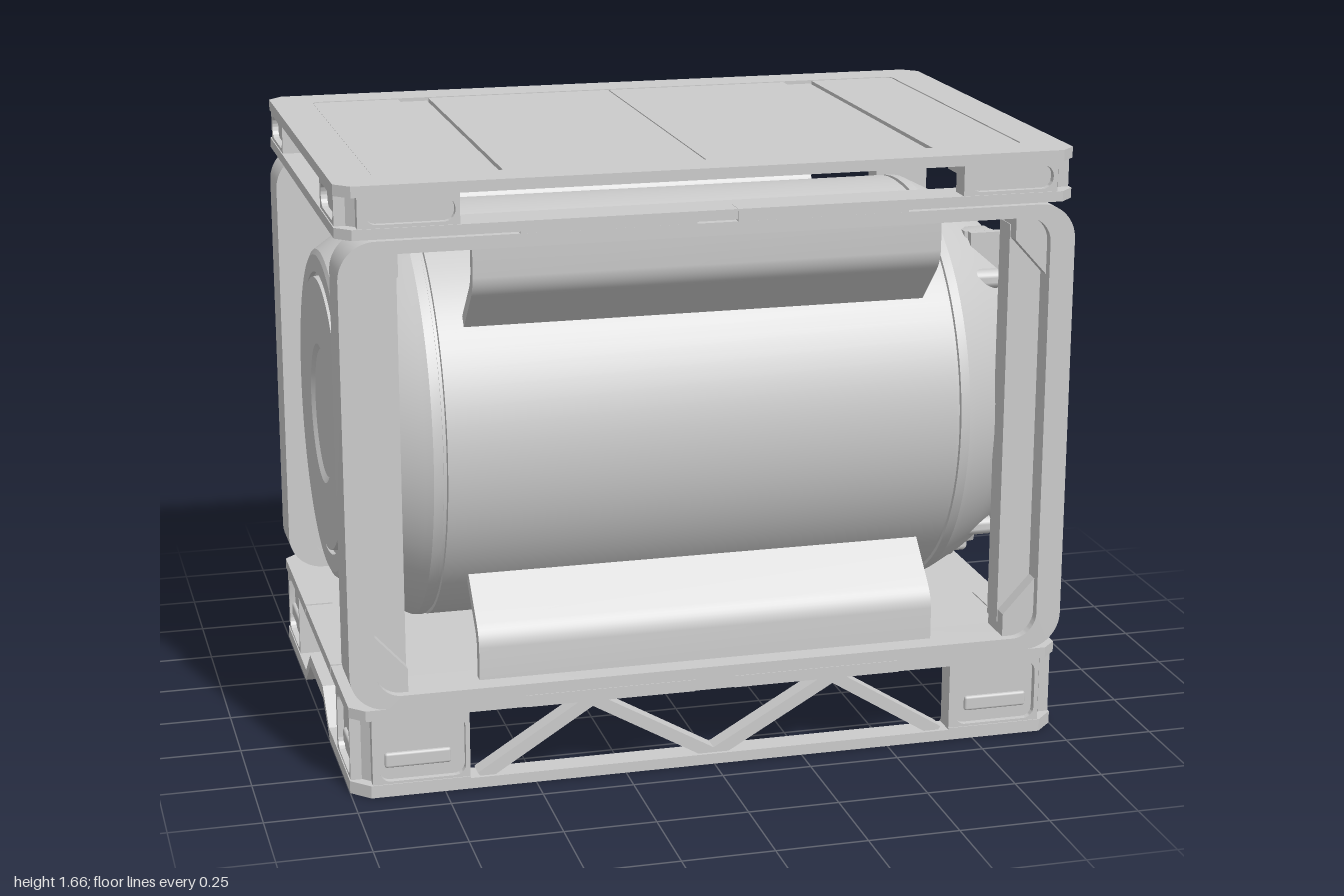
import * as THREE from 'three';
import { toCreasedNormals } from 'three/addons/utils/BufferGeometryUtils.js';
import { RoundedBoxGeometry } from 'three/addons/geometries/RoundedBoxGeometry.js';

const X = 1, Z = 0.665, AXIS = 0.885, H = 1.665;
const mat = new THREE.MeshStandardMaterial({ color: 0xcccccc });

const poly = pts => new THREE.Shape(pts.map(p => new THREE.Vector2(...p)));

function roundRect(x0, y0, x1, y1, r, target = new THREE.Shape()) {
  target.moveTo(x0 + r, y0);
  target.lineTo(x1 - r, y0); target.absarc(x1 - r, y0 + r, r, -Math.PI / 2, 0);
  target.lineTo(x1, y1 - r); target.absarc(x1 - r, y1 - r, r, 0, Math.PI / 2);
  target.lineTo(x0 + r, y1); target.absarc(x0 + r, y1 - r, r, Math.PI / 2, Math.PI);
  target.lineTo(x0, y0 + r); target.absarc(x0 + r, y0 + r, r, Math.PI, Math.PI * 1.5);
  return target;
}

const extrude = (shape, depth) => toCreasedNormals(
  new THREE.ExtrudeGeometry(shape, { depth, bevelEnabled: false, curveSegments: 8 }), 0.5);
// Plan shape (x, z) raised from y0 to y1
const raise = (shape, y0, y1) => extrude(shape, y1 - y0).rotateX(Math.PI / 2).translate(0, y1, 0);
// Side profile (z, y) drawn out along x, centred
const across = (shape, len) => extrude(shape, len).rotateY(-Math.PI / 2).translate(len / 2, 0, 0);

function add(parent, name, geo, x = 0, y = 0, z = 0) {
  const m = new THREE.Mesh(geo, mat);
  m.name = name;
  m.position.set(x, y, z);
  parent.add(m);
  return m;
}
const box = (parent, name, w, h, d, x, y, z) => add(parent, name, new THREE.BoxGeometry(w, h, d), x, y, z);

function group(parent, name) {
  const g = new THREE.Group();
  g.name = name;
  parent.add(g);
  return g;
}

const plan = (c = 0.04) => poly([[-X + c, -Z], [X - c, -Z], [X, -Z + c], [X, Z - c],
  [X - c, Z], [-X + c, Z], [-X, Z - c], [-X, -Z + c]]);

// L-shaped corner wall with a chamfered outer edge
function cornerWall(parent, name, sx, sz, inset, t, y0, y1) {
  const a = X - inset, b = Z - inset, c = 0.05;
  const pts = [[0.68, b], [a - c, b], [a, b - c], [a, 0.37], [a - t, 0.37],
    [a - t, b - c - t * 0.5], [a - c - t * 0.5, b - t], [0.68, b - t]];
  add(parent, name, raise(poly(pts.map(([x, z]) => [x * sx, z * sz])), y0, y1));
}

// Face plate around a rounded pocket, spanning u0 to u1 on one side (s) of the middle
function pocketFrame(s, u0, u1, y0, y1) {
  const shape = poly([[u0, y0], [u1, y0], [u1, y1], [u0, y1]].map(([u, y]) => [u * s, y]));
  const [a, b] = s > 0 ? [u0, u1] : [-u1, -u0];
  shape.holes.push(roundRect(a + 0.02, y0 + 0.012, b - 0.012, y1 - 0.012, 0.03, new THREE.Path()));
  return shape;
}

// Four hollow corner blocks between two levels
function corners(parent, y0, y1, slots) {
  const y = (y0 + y1) / 2 - 0.028;
  for (const sx of [-1, 1]) for (const sz of [-1, 1]) {
    cornerWall(parent, 'cornerBlock', sx, sz, 0.02, 0.045, y0, y1);
    add(parent, 'pocketFrame', extrude(pocketFrame(sx, 0.68, 0.945, y0, y1), 0.03)
      .translate(0, 0, -0.015), 0, 0, sz * (Z - 0.018));
    add(parent, 'pocketFrame', across(pocketFrame(sz, 0.37, 0.61, y0, y1), 0.03), sx * (X - 0.018));
    if (!slots) continue;
    add(parent, 'handSlot', new RoundedBoxGeometry(0.18, 0.042, 0.016, 2, 0.007), sx * 0.82, y, sz * (Z - 0.018));
    add(parent, 'handSlot', new RoundedBoxGeometry(0.016, 0.042, 0.16, 2, 0.007), sx * (X - 0.018), y, sz * 0.515);
  }
}

function addBase(root) {
  const g = group(root, 'basePallet');
  add(g, 'baseDeck', raise(plan(), 0.22, 0.25));
  corners(g, 0.03, 0.222, true);
  for (const sx of [-1, 1]) {
    for (const sz of [-1, 1]) cornerWall(g, 'cornerFoot', sx, sz, 0, 0.07, 0, 0.035);
    // Arched end rail
    const half = [[0.4, 0], [0.24, 0], [0.13, 0.085]];
    const top = [[0.125, 0.12], [0.23, 0.035], [0.4, 0.035]];
    const flip = a => a.map(([z, y]) => [-z, y]).reverse();
    add(g, 'archedRail', across(poly([...half, ...flip(half), ...flip(top), ...top]), 0.07), sx * (X - 0.035));
    // Floor tabs
    for (const sz of [-1, 1]) {
      box(g, 'endTab', 0.08, 0.025, 0.12, sx * (X - 0.039), 0.241, sz * 0.25);
      box(g, 'sideTab', 0.47, 0.033, 0.06, sx * 0.29, 0.236, sz * (Z - 0.028));
    }
  }
  // Trussed long sides
  const nodes = [[-0.65, 0.025], [-0.34, 0.22], [0, 0.025], [0.34, 0.22], [0.65, 0.025]];
  for (const s of [-1, 1]) {
    box(g, 'bottomRail', 1.4, 0.03, 0.07, 0, 0.015, s * (Z - 0.035));
    for (let i = 0; i < 4; i++) {
      const [ax, ay] = nodes[i], [bx, by] = nodes[i + 1];
      const bar = box(g, 'trussBar', Math.hypot(bx - ax, by - ay), 0.034, 0.05,
        (ax + bx) / 2, (ay + by) / 2, s * (Z - 0.035));
      bar.rotation.z = Math.atan2(by - ay, bx - ax);
    }
  }
}

function addTop(root) {
  const g = group(root, 'topPallet');
  const rim = plan();
  rim.holes.push(roundRect(-0.885, -0.55, 0.885, 0.55, 0.025, new THREE.Path()));
  add(g, 'deckRim', raise(rim, 1.635, H));
  add(g, 'deckFloor', raise(plan(0.1), 1.637, 1.65));
  // Deck panels, with the narrow strips set lower
  const seams = [-0.885, -0.63, -0.545, 0, 0.545, 0.63, 0.885], gap = 0.002;
  for (let i = 0; i < 6; i++) {
    const w = seams[i + 1] - seams[i];
    box(g, 'deckPanel', w - gap * 2, 0.012, 1.1 - gap * 2,
      (seams[i] + seams[i + 1]) / 2, H - (w < 0.1 ? 0.016 : 0.008), 0);
  }
  const ring = plan();
  ring.holes.push(roundRect(-0.89, -0.55, 0.89, 0.55, 0.04, new THREE.Path()));
  add(g, 'lowerRim', raise(ring, 1.525, 1.553));
  corners(g, 1.55, 1.637, false);
  for (const sx of [-1, 1]) for (const sz of [-1, 1]) {
    box(g, 'sideTab', 0.47, 0.033, 0.06, sx * 0.29, 1.537, sz * (Z - 0.028));
    box(g, 'endTab', 0.1, 0.025, 0.14, sx * 0.86, 1.54, sz * 0.25);
  }
}

// Upright rounded frames at front and back
function addFrames(root) {
  for (const s of [-1, 1]) {
    const g = group(root, s > 0 ? 'frontFrame' : 'backFrame');
    const shape = roundRect(-X, 0.25, X, 1.52, 0.1);
    shape.holes.push(roundRect(-0.93, 0.285, 0.93, 1.485, 0.07, new THREE.Path()));
    add(g, 'frameRing', extrude(shape, 0.14).translate(0, 0, -0.07), 0, 0, s * 0.595);
    for (const sx of [-1, 1]) {
      box(g, 'postWeb', 0.1, 1.14, 0.075, sx * 0.888, AXIS, s * 0.5625);
      for (const sy of [-1, 1]) {
        const pts = [[0.94, 0.425], [0.84, 0.535], [0.84, 0.61], [0.94, 0.61]];
        add(g, 'cornerGusset', extrude(poly(pts.map(([x, y]) => [x * sx, AXIS + y * sy])), 0.11)
          .translate(0, 0, -0.055), 0, 0, s * 0.585);
      }
    }
  }
}

// Four bent plates that hold the tank
function addSaddles(root) {
  const shape = new THREE.Shape();
  shape.moveTo(0.425, -0.348);
  shape.lineTo(0.55, -0.47);
  shape.quadraticCurveTo(0.575, -0.495, 0.575, -0.53);
  shape.lineTo(0.575, -0.64);
  shape.lineTo(0.605, -0.64);
  shape.lineTo(0.605, -0.52);
  shape.quadraticCurveTo(0.605, -0.48, 0.575, -0.45);
  shape.lineTo(0.447, -0.325);
  const geo = across(shape, 1.28);
  for (const flip of [0, Math.PI]) for (const turn of [0, Math.PI]) {
    const m = add(root, 'saddlePlate', geo, 0, AXIS, 0);
    m.rotation.set(flip, turn, 0);
  }
}

function addTank(root) {
  const g = group(root, 'tank');
  g.position.y = AXIS;
  // Half profile: radius, distance from the middle
  const half = [[0, 0.952], [0.18, 0.952], [0.196, 0.962], [0.383, 0.962], [0.385, 0.945], [0.395, 0.945],
    [0.397, 0.957], [0.445, 0.957], [0.46, 0.95], [0.535, 0.84], [0.571, 0.768], [0.581, 0.748], [0.582, 0.722],
    [0.574, 0.72], [0.574, 0.712], [0.582, 0.71]];
  const profile = [...half.map(([r, x]) => [r, -x]), ...half.slice().reverse()];
  const body = new THREE.LatheGeometry(profile.map(p => new THREE.Vector2(...p)), 72).rotateZ(-Math.PI / 2);
  add(g, 'tankBody', toCreasedNormals(body, 0.4));
  const pin = (name, r, len, x, y, z, n = 24) =>
    add(g, name, toCreasedNormals(new THREE.CylinderGeometry(r, r, len, n).rotateZ(Math.PI / 2), 0.7), x, y, z);
  for (const sx of [-1, 1]) for (const sy of [-1, 1]) for (const sz of [-1, 1])
    pin('endBolt', 0.028, 0.09, sx * 0.85, sy * 0.362, sz * 0.362);

  // Upper fitting on the right-hand end
  box(g, 'fittingPlate', 0.1, 0.11, 0.025, 0.89, 0.425, 0.288);
  add(g, 'fittingBody', across(poly([[0.275, 0.37], [0.215, 0.37], [0.17, 0.395], [0.16, 0.43],
    [0.18, 0.465], [0.215, 0.48], [0.275, 0.48]]), 0.08), 0.87);
  pin('fittingCap', 0.043, 0.03, 0.92, 0.425, 0.215);

  // Drain valve on the cone
  pin('valveFlange', 0.086, 0.09, 0.86, -0.485, 0, 32);
  add(g, 'valveBlock', new RoundedBoxGeometry(0.06, 0.125, 0.125, 2, 0.015), 0.92, -0.485, 0);
  pin('valveCap', 0.055, 0.03, 0.96, -0.485, 0, 8);
}

export function createModel() {
  const root = new THREE.Group();
  root.name = 'framedTank';
  addBase(root);
  addTop(root);
  addFrames(root);
  addSaddles(root);
  addTank(root);
  return root;
}
